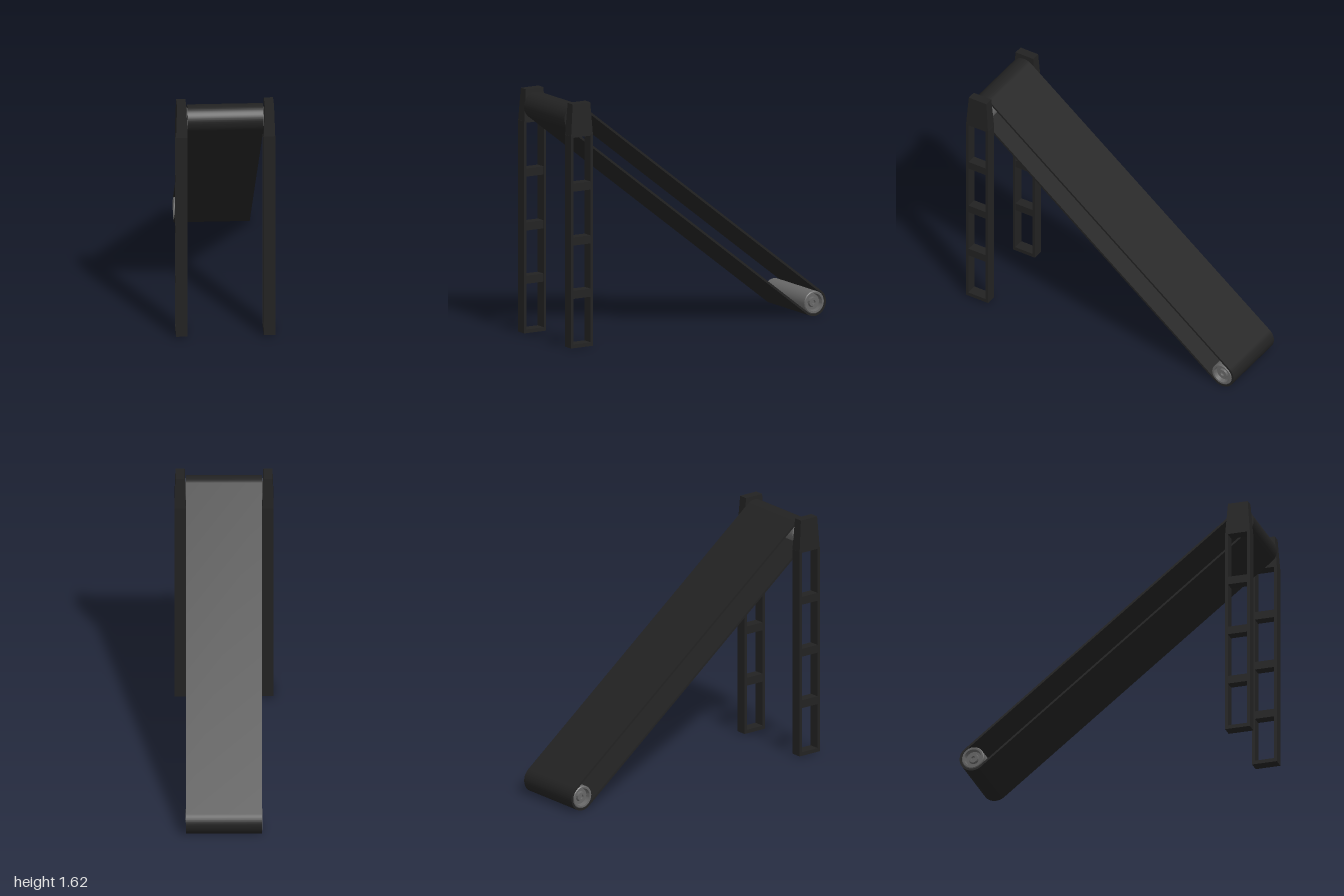
import * as THREE from 'three';
import { toCreasedNormals } from 'three/addons/utils/BufferGeometryUtils.js';

const dark = new THREE.MeshStandardMaterial({ color: 0x222222 });
const steel = new THREE.MeshStandardMaterial({ color: 0x666666 });

// roller axes (z, y) and belt size
const low = { z: -0.91, y: 0.09 };
const high = { z: 0.91, y: 1.51 };
const beltRadius = 0.09, beltThickness = 0.014, beltWidth = 0.49;

function add(parent, name, geometry, material, x = 0, y = 0, z = 0) {
  const mesh = new THREE.Mesh(geometry, material);
  mesh.name = name;
  mesh.position.set(x, y, z);
  parent.add(mesh);
  return mesh;
}

// closed loop around both rollers, drawn in the z-y plane
function loopPath(path, r) {
  const a = Math.atan2(high.y - low.y, high.z - low.z);
  path.absarc(high.z, high.y, r, a - Math.PI / 2, a + Math.PI / 2, false);
  path.absarc(low.z, low.y, r, a + Math.PI / 2, a + Math.PI * 1.5, false);
  path.closePath();
  return path;
}

function beltGeometry() {
  const shape = loopPath(new THREE.Shape(), beltRadius);
  shape.holes.push(loopPath(new THREE.Path(), beltRadius - beltThickness));
  const g = new THREE.ExtrudeGeometry(shape, { depth: beltWidth, bevelEnabled: false, curveSegments: 24 });
  g.translate(0, 0, -beltWidth / 2);
  g.rotateY(-Math.PI / 2);
  return toCreasedNormals(g, 0.6);
}

// drum with dished ends and a small hub
function rollerGeometry() {
  const end = [[0, 0.225], [0.012, 0.225], [0.014, 0.238], [0.03, 0.238], [0.034, 0.22],
    [0.052, 0.22], [0.058, 0.248], [0.07, 0.248], [0.075, 0.243]];
  const points = [
    ...end.map(([r, h]) => new THREE.Vector2(r, -h)),
    ...end.slice().reverse().map(([r, h]) => new THREE.Vector2(r, h)),
  ];
  const g = new THREE.LatheGeometry(points, 40);
  g.rotateZ(Math.PI / 2);
  return toCreasedNormals(g, 0.6);
}

// block that narrows towards the top
function headGeometry() {
  const g = new THREE.BoxGeometry(0.075, 0.22, 0.168);
  const p = g.attributes.position;
  for (let i = 0; i < p.count; i++) {
    if (p.getY(i) > 0) {
      p.setX(i, p.getX(i) * 0.8);
      p.setZ(i, p.getZ(i) * 0.8);
    }
  }
  g.computeVertexNormals();
  return g;
}

function createLeg(name, x) {
  const leg = new THREE.Group();
  leg.name = name;
  leg.position.set(x, 0, 0.914);
  // front and back rails
  for (const side of [1, -1]) {
    add(leg, side > 0 ? 'frontRail' : 'backRail', new THREE.BoxGeometry(0.075, 1.4, 0.018),
      dark, 0, 0.71, side * 0.075);
  }
  // rungs and foot
  for (const y of [0.362, 0.714, 1.07]) {
    add(leg, 'rung', new THREE.BoxGeometry(0.067, 0.054, 0.14), dark, 0, y, 0);
  }
  add(leg, 'foot', new THREE.BoxGeometry(0.075, 0.025, 0.14), dark, 0, 0.0225, 0);
  add(leg, 'bearingHead', headGeometry(), dark, 0, 1.51, 0);
  return leg;
}

export function createModel() {
  const model = new THREE.Group();
  model.name = 'conveyor';
  add(model, 'belt', beltGeometry(), dark);
  add(model, 'lowerRoller', rollerGeometry(), steel, 0, low.y, low.z);
  add(model, 'upperRoller', rollerGeometry(), steel, 0, high.y, high.z);
  model.add(createLeg('leftLeg', 0.284), createLeg('rightLeg', -0.284));
  return model;
}
